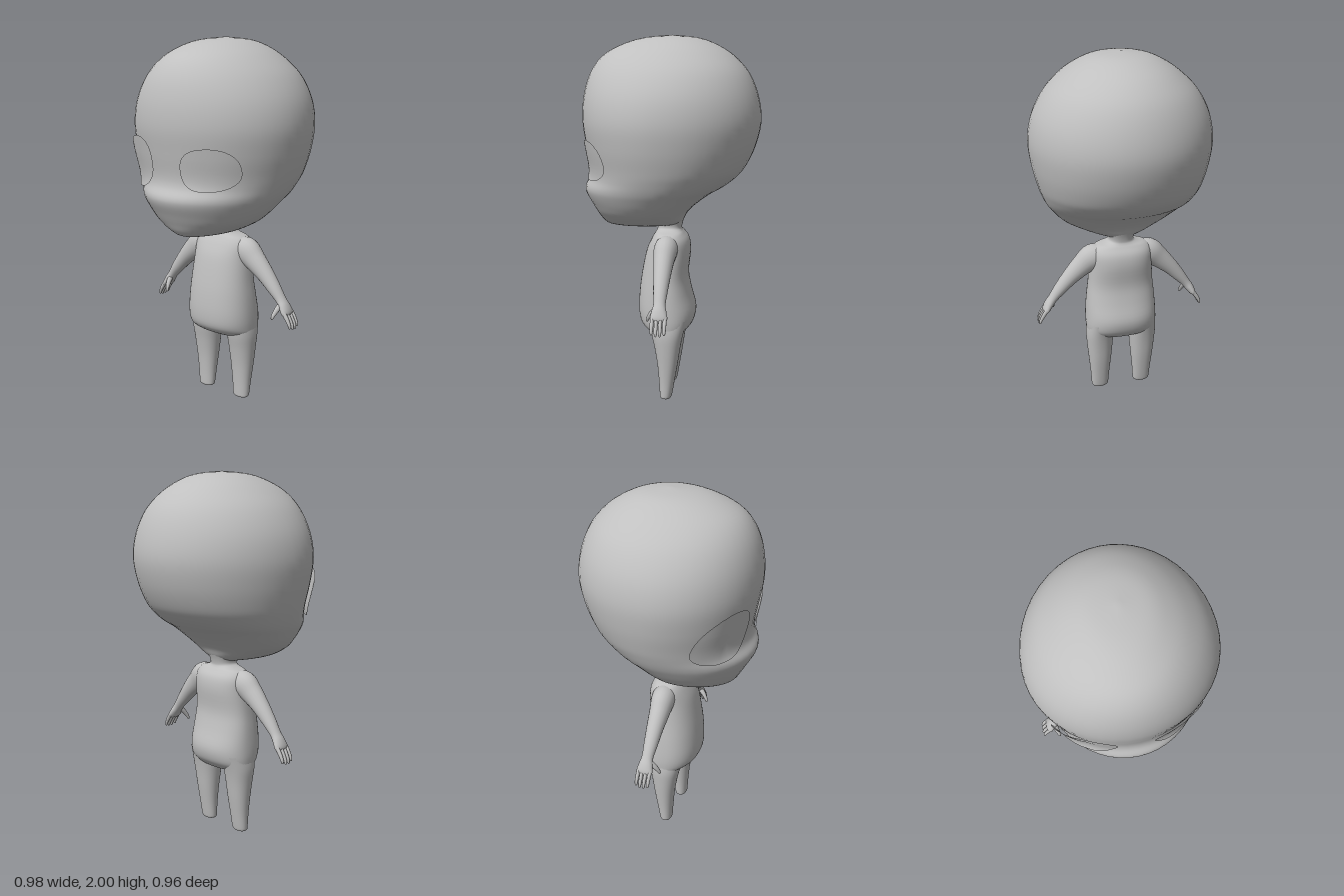
import * as THREE from 'three';
import { mergeVertices } from 'three/addons/utils/BufferGeometryUtils.js';

const SEG = 48;

// Catmull-Rom through every column of a table of sections
function smooth(rows, steps) {
  const out = [];
  const at = (i) => rows[Math.min(Math.max(i, 0), rows.length - 1)];
  for (let i = 0; i < rows.length - 1; i++) {
    for (let s = 0; s < steps; s++) {
      const t = s / steps;
      out.push(rows[i].map((b, k) => {
        const a = at(i - 1)[k], c = at(i + 1)[k], d = at(i + 2)[k];
        return b + 0.5 * t * (c - a + t * (2 * a - 5 * b + 4 * c - d + t * (3 * (b - c) + d - a)));
      }));
    }
  }
  out.push(rows[rows.length - 1]);
  return out;
}

// Smooth skin over closed rings of points
function skin(rings) {
  const n = rings[0].length, pos = [], idx = [];
  rings.forEach((r) => r.forEach((p) => pos.push(p.x, p.y, p.z)));
  for (let i = 0; i < rings.length - 1; i++) {
    for (let j = 0; j < n; j++) {
      const a = i * n + j, b = i * n + (j + 1) % n;
      idx.push(a, b, a + n, b, b + n, a + n);
    }
  }
  let g = new THREE.BufferGeometry();
  g.setAttribute('position', new THREE.Float32BufferAttribute(pos, 3));
  g.setIndex(idx);
  g = mergeVertices(g, 1e-5);
  g.computeVertexNormals();
  return g;
}

const ring = (n, fn) => Array.from({ length: n }, (_, j) => fn(j / n * Math.PI * 2));
const pw = (v, e) => Math.sign(v) * Math.abs(v) ** e;

// Horizontal sections, top to bottom: [y, half width, front z, back z, z of widest point]
function stack(rows, power = 2, cx = 0) {
  const e = 2 / power;
  return skin(rows.map(([y, w, zf, zb, zc]) => ring(SEG, (a) => {
    const s = pw(Math.sin(a), e);
    return new THREE.Vector3(cx + w * pw(Math.cos(a), e), y, zc + s * (s > 0 ? zf - zc : zc - zb));
  })));
}

// Limb along a path: [x, y, z, radius across, radius in z]
function limb(rows, steps = 5, seg = 20) {
  const pts = smooth(rows, steps);
  const P = (i) => new THREE.Vector3(...pts[Math.min(Math.max(i, 0), pts.length - 1)].slice(0, 3));
  return skin(pts.map((r, i) => {
    const t = P(i + 1).sub(P(i - 1)).normalize();
    const v = new THREE.Vector3(0, 0, 1).addScaledVector(t, -t.z).normalize();
    const u = v.clone().cross(t);
    return ring(seg, (a) => P(i).addScaledVector(u, r[3] * Math.cos(a)).addScaledVector(v, r[4] * Math.sin(a)));
  }));
}

const HEAD = smooth([
  [2.0, 0, 0, 0, 0], [1.985, 0.13, 0.15, -0.14, 0], [1.95, 0.22, 0.27, -0.24, 0],
  [1.89, 0.31, 0.375, -0.335, 0.01], [1.8, 0.4, 0.44, -0.415, 0.01], [1.68, 0.465, 0.475, -0.465, 0.02],
  [1.55, 0.49, 0.482, -0.482, 0.03], [1.42, 0.478, 0.464, -0.455, 0.03], [1.31, 0.452, 0.446, -0.405, 0.03],
  [1.25, 0.432, 0.45, -0.355, 0.04], [1.2, 0.41, 0.475, -0.29, 0.05], [1.16, 0.385, 0.472, -0.22, 0.07],
  [1.1, 0.34, 0.44, -0.14, 0.1], [1.05, 0.285, 0.412, -0.09, 0.13], [1.0, 0.185, 0.38, -0.06, 0.16],
  [0.975, 0.09, 0.335, -0.01, 0.17], [0.967, 0, 0.18, 0.18, 0.18],
], 5);

// Depth of the face at a given x and y
function faceZ(x, y) {
  const i = Math.max(1, HEAD.findIndex((r) => r[0] <= y));
  const [a, b] = [HEAD[i - 1], HEAD[i]];
  const t = (a[0] - y) / (a[0] - b[0]);
  const m = (k) => a[k] + (b[k] - a[k]) * t;
  return m(4) + (m(2) - m(4)) * Math.sqrt(Math.max(0, 1 - (x / m(1)) ** 2));
}

// Eye shell lying over the face; flare lifts its outer side off the cheek
function eye(cx, cy, rx, ry, tilt, lift, flare) {
  const rings = [];
  for (let i = 0; i <= 10; i++) {
    rings.push(ring(SEG, (a) => {
      const u = i / 10 * rx * pw(Math.cos(a), 0.85), v = -i / 10 * ry * pw(Math.sin(a), 0.85);
      const x = cx + u, y = cy + v + tilt * u;
      const out = Math.max(0, (Math.abs(x) - Math.abs(cx)) / rx);
      return new THREE.Vector3(x, y, faceZ(x, y) + lift + flare * out);
    }));
  }
  return skin(rings);
}

export function createModel() {
  const model = new THREE.Group();
  const grey = new THREE.MeshStandardMaterial({ color: 0xc0c0c0 });
  grey.name = 'plain grey';
  grey.side = THREE.DoubleSide;
  const add = (name, geometry, parent = model) => {
    const m = new THREE.Mesh(geometry, grey);
    m.name = name;
    parent.add(m);
    return m;
  };

  add('head', stack(HEAD));
  add('rightEye', eye(-0.258, 1.36, 0.15, 0.135, 0.1, 0.012, 0.025));
  add('leftEye', eye(0.22, 1.35, 0.14, 0.108, 0.06, 0.01, 0.004));

  // Neck, chest, belly and seat
  add('torso', stack(smooth([
    [1.13, 0.16, 0.06, -0.17, 0], [1.07, 0.105, 0.08, -0.1, 0], [1.01, 0.08, 0.085, -0.068, 0.01],
    [0.965, 0.07, 0.08, -0.055, 0.01], [0.947, 0.095, 0.082, -0.058, 0.01], [0.93, 0.15, 0.092, -0.07, 0.01],
    [0.89, 0.175, 0.115, -0.096, 0.01], [0.82, 0.178, 0.143, -0.104, 0.01], [0.7, 0.187, 0.167, -0.093, 0.02],
    [0.6, 0.198, 0.18, -0.11, 0.02], [0.5, 0.205, 0.184, -0.136, 0.02], [0.43, 0.205, 0.172, -0.125, 0.01],
    [0.39, 0.195, 0.13, -0.095, 0.01], [0.363, 0.14, 0.075, -0.06, 0.01], [0.352, 0, 0.01, 0.01, 0.01],
  ], 4), 2.3));

  // Legs, open at the sole
  for (const s of [1, -1]) {
    add(s > 0 ? 'leftLeg' : 'rightLeg', stack(smooth([
      [0.46, 0.07, 0.11, -0.1, 0.01], [0.38, 0.079, 0.1, -0.078, 0.01], [0.3, 0.075, 0.083, -0.062, 0.01],
      [0.2, 0.066, 0.067, -0.047, 0.01], [0.1, 0.056, 0.058, -0.03, 0.014], [0.03, 0.051, 0.054, -0.018, 0.018],
      [0.008, 0.048, 0.052, -0.013, 0.02], [0, 0.04, 0.046, -0.008, 0.02],
    ], 4), 2.2, s * 0.128));
  }

  // Arms and hands
  for (const s of [1, -1]) {
    const arm = new THREE.Group();
    arm.name = s > 0 ? 'leftArm' : 'rightArm';
    add('sleeve', limb([
      [0.09, 0.88, 0.01, 0.05, 0.06], [0.16, 0.862, 0.015, 0.075, 0.065], [0.22, 0.817, 0.018, 0.063, 0.056],
      [0.29, 0.752, 0.018, 0.048, 0.046], [0.35, 0.685, 0.018, 0.037, 0.038], [0.395, 0.63, 0.017, 0.027, 0.032],
      [0.42, 0.595, 0.017, 0.025, 0.04], [0.44, 0.56, 0.016, 0.018, 0.043], [0.448, 0.543, 0.016, 0, 0],
    ]), arm);
    for (let f = 0; f < 4; f++) {
      const z = 0.049 - f * 0.022, len = f === 0 || f === 3 ? 0.9 : 1.03;
      add('finger' + (f + 1), limb([
        [0.433, 0.575, z, 0.012, 0.011], [0.455, 0.545, z, 0.012, 0.01],
        [0.455 + 0.02 * len, 0.545 - 0.035 * len, z, 0.009, 0.009],
        [0.455 + 0.025 * len, 0.545 - 0.055 * len, z, 0.006, 0.006],
        [0.455 + 0.026 * len, 0.545 - 0.06 * len, z, 0, 0],
      ], 3, 10), arm);
    }
    add('thumb', limb([
      [0.405, 0.61, 0.03, 0.016, 0.016], [0.398, 0.585, 0.056, 0.015, 0.014],
      [0.39, 0.557, 0.076, 0.011, 0.01], [0.386, 0.538, 0.084, 0.007, 0.007], [0.385, 0.532, 0.086, 0, 0],
    ], 3, 10), arm);
    arm.scale.x = s;
    model.add(arm);
  }
  return model;
}
